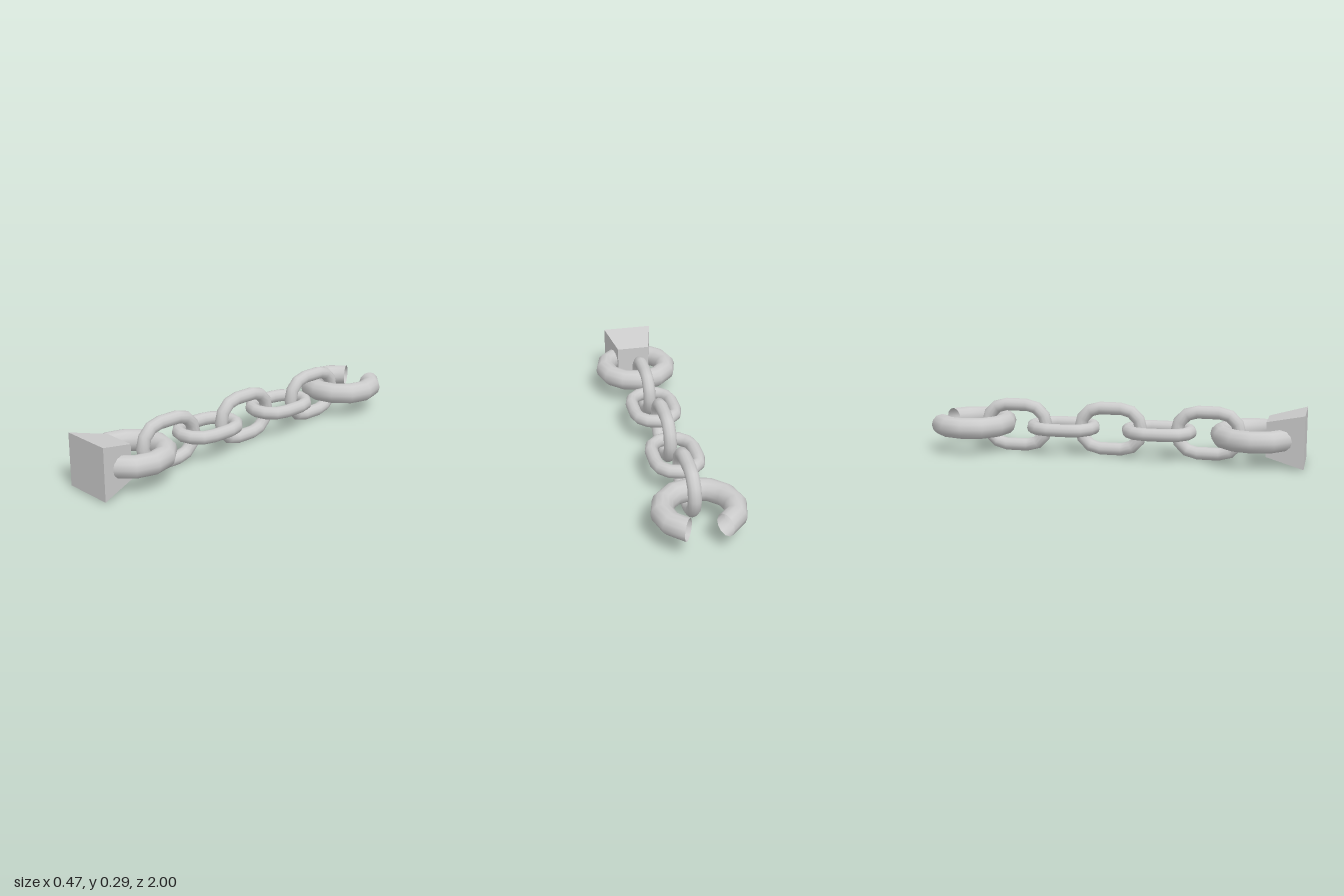
import * as THREE from 'three';

const CENTRE_Y = 0.1445;
const TUBE_SIDES = 12;
const STEP = Math.PI / 6; // twelve segments per full turn

// Closed oval link lying flat, long axis along z: a torus split and pulled apart
function linkGeometry(radius, tube, stretch) {
  const columns = 14;
  const geo = new THREE.TorusGeometry(radius, tube, TUBE_SIDES, columns);
  const pos = geo.attributes.position;
  const normal = geo.attributes.normal;
  for (let j = 0; j <= TUBE_SIDES; j++) {
    const v = (j / TUBE_SIDES) * Math.PI * 2;
    for (let i = 0; i <= columns; i++) {
      const k = i % columns;
      const upper = k <= 6;
      const a = (upper ? k : k - 1) * STEP;
      const r = radius + tube * Math.cos(v);
      const index = j * (columns + 1) + i;
      pos.setXYZ(index, r * Math.cos(a), r * Math.sin(a) + (upper ? stretch : -stretch), tube * Math.sin(v));
      normal.setXYZ(index, Math.cos(v) * Math.cos(a), Math.cos(v) * Math.sin(a), Math.sin(v));
    }
  }
  return geo.rotateX(-Math.PI / 2);
}

// Thick ring with a two-segment gap, hollow at its ends; gap faces -z
function openRingGeometry() {
  return new THREE.TorusGeometry(0.177, 0.057, TUBE_SIDES, 10, STEP * 10)
    .rotateZ(STEP * 4)
    .rotateX(-Math.PI / 2);
}

// Four-sided block tapering from its front face towards the back
function blockGeometry(frontHalf, backHalf, depth) {
  return new THREE.CylinderGeometry(frontHalf * Math.SQRT2, backHalf * Math.SQRT2, depth, 4)
    .rotateY(Math.PI / 4)
    .rotateX(Math.PI / 2);
}

export function createModel() {
  const group = new THREE.Group();
  const smooth = new THREE.MeshStandardMaterial({ color: 0xcccccc, side: THREE.DoubleSide });
  const flat = new THREE.MeshStandardMaterial({ color: 0xcccccc, flatShading: true });

  const add = (name, geometry, material, z) => {
    const mesh = new THREE.Mesh(geometry, material);
    mesh.name = name;
    mesh.position.set(0, CENTRE_Y, z);
    group.add(mesh);
    return mesh;
  };

  // Five links, alternately upright and flat
  const link = linkGeometry(0.11, 0.0345, 0.057);
  for (let i = 0; i < 5; i++) {
    const upright = i % 2 === 0;
    const mesh = add(upright ? 'uprightLink' : 'flatLink', link, smooth, 0.496 - i * 0.262);
    if (upright) mesh.rotation.z = Math.PI / 2;
  }

  // Open rings at both ends
  const ring = openRingGeometry();
  add('backOpenRing', ring, smooth, -0.797);
  add('frontOpenRing', ring, smooth, 0.741).rotation.y = Math.PI;

  // Anchor block closing the front ring
  add('anchorBlock', blockGeometry(0.138, 0.091, 0.195), flat, 0.9025);

  return group;
}
